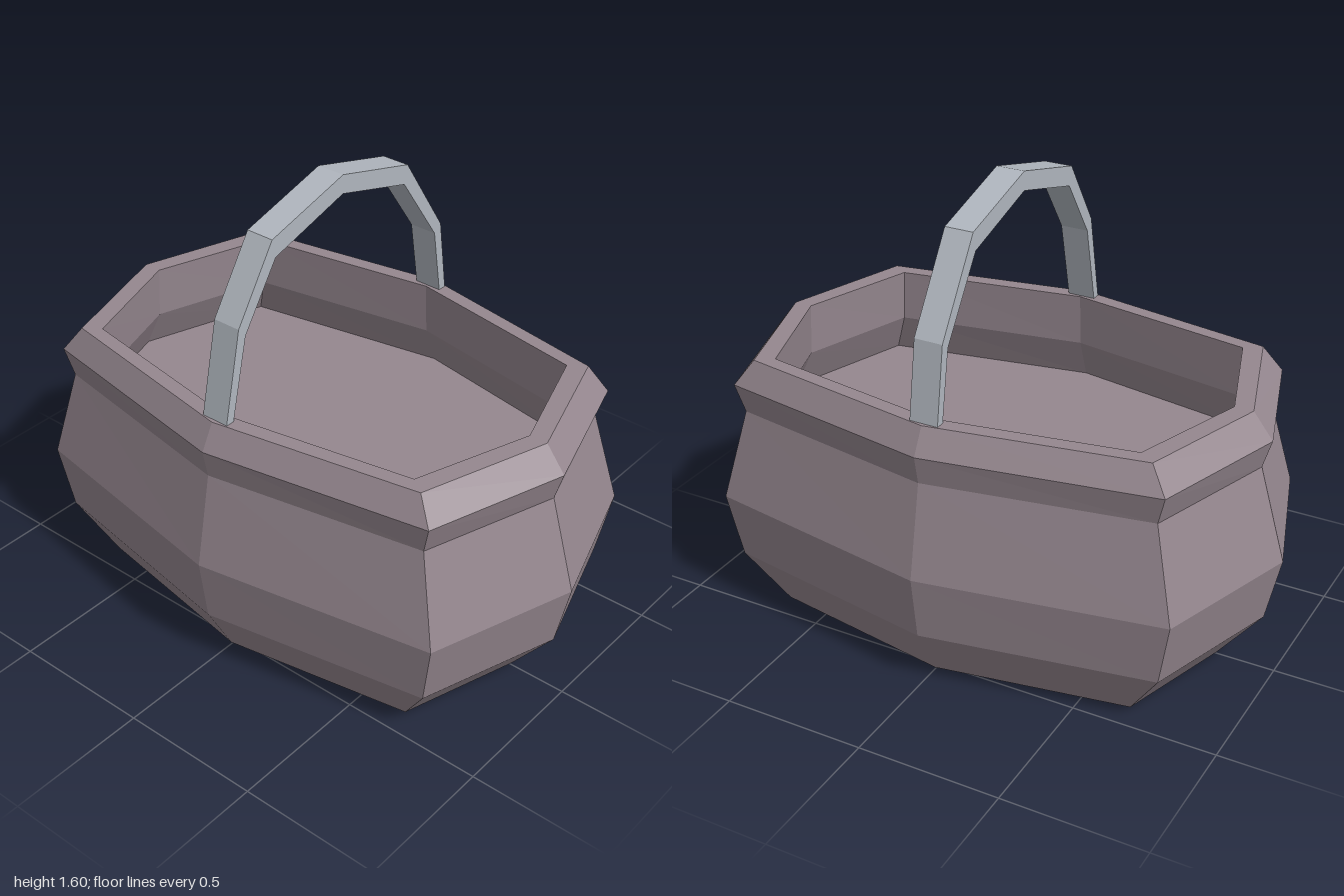
import * as THREE from 'three';

// Octagonal ring: half length, corner x, corner z, half depth at height y
const ring = ([y, a, cx, cz, m]) => [
  [a, y, 0], [cx, y, cz], [0, y, m], [-cx, y, cz],
  [-a, y, 0], [-cx, y, -cz], [0, y, -m], [cx, y, -cz],
];

// Skin a series of equal-sized rings; each band joins ring k to ring k + 1
function loft(rings, closeEnds = false) {
  const pos = [];
  const tri = (...pts) => pts.forEach((p) => pos.push(...p));
  const n = rings[0].length;
  for (let k = 0; k < rings.length - 1; k++) {
    for (let i = 0; i < n; i++) {
      const j = (i + 1) % n;
      const a = rings[k][i], b = rings[k][j], c = rings[k + 1][j], d = rings[k + 1][i];
      tri(a, d, c);
      tri(a, c, b);
    }
  }
  if (closeEnds) {
    const first = rings[0], last = rings[rings.length - 1];
    for (let i = 1; i < n - 1; i++) {
      tri(first[0], first[i], first[i + 1]);
      tri(last[0], last[i + 1], last[i]);
    }
  }
  const geo = new THREE.BufferGeometry();
  geo.setAttribute('position', new THREE.Float32BufferAttribute(pos, 3));
  geo.computeVertexNormals();
  return geo;
}

export function createModel() {
  const model = new THREE.Group();
  model.name = 'basket';
  const wicker = new THREE.MeshStandardMaterial({ color: 0x95878f, flatShading: true });
  wicker.name = 'mauve wicker';
  const metal = new THREE.MeshStandardMaterial({ color: 0xb0b6be, flatShading: true });
  metal.name = 'grey handle';

  const add = (name, geo, mat) => {
    const mesh = new THREE.Mesh(geo, mat);
    mesh.name = name;
    model.add(mesh);
  };

  // Bulging outer wall with its underside
  add('outerWall', loft([
    [0, 0, 0, 0, 0],
    [0.006, 0.795, 0.665, 0.415, 0.53],
    [0.2, 0.95, 0.79, 0.495, 0.635],
    [0.43, 1, 0.832, 0.52, 0.667],
    [0.757, 0.905, 0.755, 0.47, 0.605],
  ].map(ring)), wicker);

  // Flared collar and flat rim
  add('rim', loft([
    [0.757, 0.905, 0.755, 0.47, 0.605],
    [0.857, 0.935, 0.783, 0.487, 0.625],
    [0.947, 0.865, 0.722, 0.45, 0.577],
    [0.947, 0.8, 0.665, 0.408, 0.522],
  ].map(ring)), wicker);

  // Inner wall, upright below the rim and then widening to the floor
  add('interior', loft([
    [0.947, 0.8, 0.665, 0.408, 0.522],
    [0.76, 0.81, 0.675, 0.415, 0.532],
    [0.615, 0.88, 0.73, 0.455, 0.585],
    [0.615, 0, 0, 0, 0],
  ].map(ring)), wicker);

  // Handle: [outer z, outer y, inner z, inner y] from front to back
  const half = 0.05;
  const arch = [
    [0.565, 0.94, 0.533, 0.94],
    [0.495, 1.265, 0.465, 1.23],
    [0.335, 1.508, 0.32, 1.442],
    [0, 1.598, 0, 1.532],
    [-0.33, 1.508, -0.315, 1.442],
    [-0.525, 1.212, -0.492, 1.188],
    [-0.565, 0.94, -0.533, 0.94],
  ].map(([zo, yo, zi, yi]) => [
    [half, yo, zo], [-half, yo, zo], [-half, yi, zi], [half, yi, zi],
  ]);
  add('handle', loft(arch, true), metal);

  return model;
}
